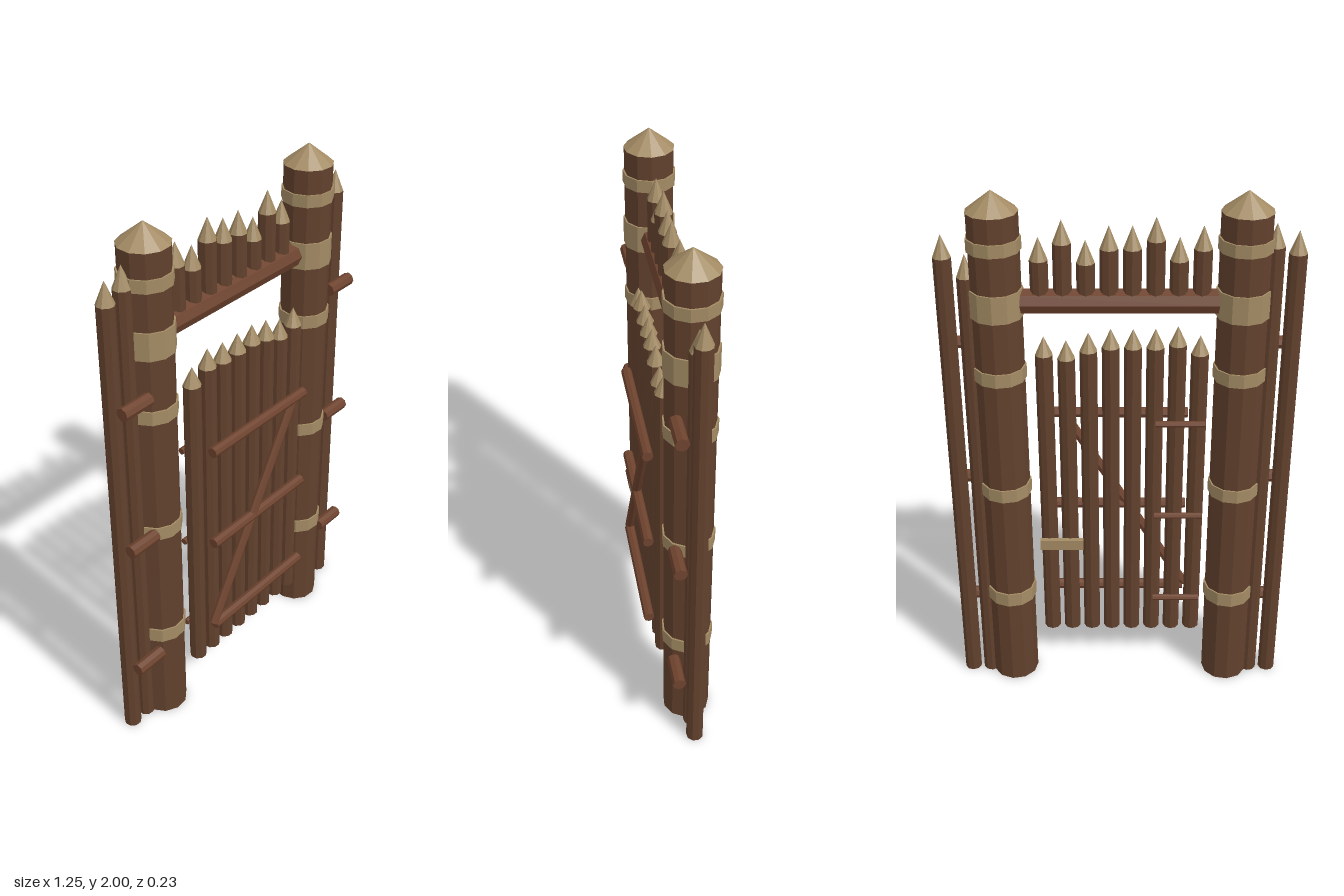
import * as THREE from 'three';

export function createModel() {
  const model = new THREE.Group();
  const mat = (name, color) => {
    const m = new THREE.MeshStandardMaterial({ color });
    m.name = name;
    m.flatShading = true;
    return m;
  };
  const log = mat('dark wood', 0x62412d);
  const rail = mat('red wood', 0x6e432e);
  const pale = mat('pale cut wood', 0xa38b64);

  const add = (parent, name, geometry, material, x, y, z) => {
    const mesh = new THREE.Mesh(geometry, material);
    mesh.name = name;
    mesh.position.set(x, y, z);
    parent.add(mesh);
    return mesh;
  };
  const group = (name) => {
    const g = new THREE.Group();
    g.name = name;
    model.add(g);
    return g;
  };

  // Round pole running between two points
  const pole = (parent, name, a, b, r, material, sides = 8) => {
    const from = new THREE.Vector3(...a), to = new THREE.Vector3(...b);
    const dir = to.clone().sub(from);
    const mid = from.clone().add(to).multiplyScalar(0.5);
    const mesh = add(parent, name, new THREE.CylinderGeometry(r, r, dir.length(), sides), material, mid.x, mid.y, mid.z);
    mesh.quaternion.setFromUnitVectors(new THREE.Vector3(0, 1, 0), dir.normalize());
    return mesh;
  };

  // Upright stake with a pale sharpened tip
  const stake = (parent, x, z, bottom, top, tip = 0.08) => {
    const r = 0.032, turn = x * 9;
    const h = top - tip - bottom;
    add(parent, 'stake', new THREE.CylinderGeometry(r, r, h, 9), log, x, bottom + h / 2, z).rotation.y = turn;
    add(parent, 'stakeTip', new THREE.ConeGeometry(r, tip, 9), pale, x, top - tip / 2, z).rotation.y = turn;
  };

  // Gate posts with pointed caps and rope bands
  const bands = [[0.395, 0.055], [0.87, 0.05], [1.345, 0.05], [1.61, 0.1], [1.82, 0.045]];
  for (const side of [-1, 1]) {
    const post = group(side < 0 ? 'rightPost' : 'leftPost');
    post.position.set(side * 0.42, 0, -0.023);
    post.rotation.y = side * 0.2;
    add(post, 'postLog', new THREE.CylinderGeometry(0.088, 0.088, 1.93, 11), log, 0, 0.965, 0);
    add(post, 'postCap', new THREE.ConeGeometry(0.09, 0.07, 11), pale, 0, 1.965, 0);
    for (const [y, h] of bands) {
      add(post, 'ropeBand', new THREE.CylinderGeometry(0.094, 0.094, h, 11), pale, 0, y, 0);
    }
  }

  // Lintel with a row of stakes above it
  const lintel = group('lintel');
  pole(lintel, 'crossBeam', [-0.36, 1.61, -0.024], [0.36, 1.61, -0.024], 0.045, rail);
  [1.88, 1.84, 1.91, 1.88, 1.88, 1.83, 1.9, 1.84].forEach((top, i) => {
    stake(lintel, -0.278 + i * 0.0785, -0.025, 1.61, top);
  });

  // Door leaf
  const door = group('door');
  [1.45, 1.485, 1.475, 1.475, 1.475, 1.46, 1.43, 1.445].forEach((top, i) => {
    stake(door, -0.284 + i * 0.079, 0.04, 0.16, top, 0.07);
  });
  for (const y of [0.32, 0.71, 1.11]) {
    pole(door, 'doorRail', [-0.25, y, 0.095], [0.27, y, 0.095], 0.02, rail);
    pole(door, 'hingeBar', [-0.31, y, 0.005], [-0.13, y, 0.005], 0.012, rail);
  }
  pole(door, 'diagonalBrace', [-0.255, 0.33, 0.095], [0.21, 1.11, 0.095], 0.018, rail);
  add(door, 'latch', new THREE.BoxGeometry(0.165, 0.042, 0.02), pale, 0.222, 0.58, 0.002);

  // Short fence sections outside the posts
  const tops = { '-1': [1.89, 1.865], 1: [1.78, 1.85] };
  for (const side of [-1, 1]) {
    const fence = group(side < 0 ? 'rightFence' : 'leftFence');
    stake(fence, side * 0.518, -0.028, 0, tops[side][0]);
    stake(fence, side * 0.593, -0.027, 0, tops[side][1]);
    for (const y of [0.32, 0.87, 1.425]) {
      pole(fence, 'fenceRail', [side * 0.49, y, 0.038], [side * 0.616, y, 0.038], 0.024, rail);
    }
  }

  return model;
}
